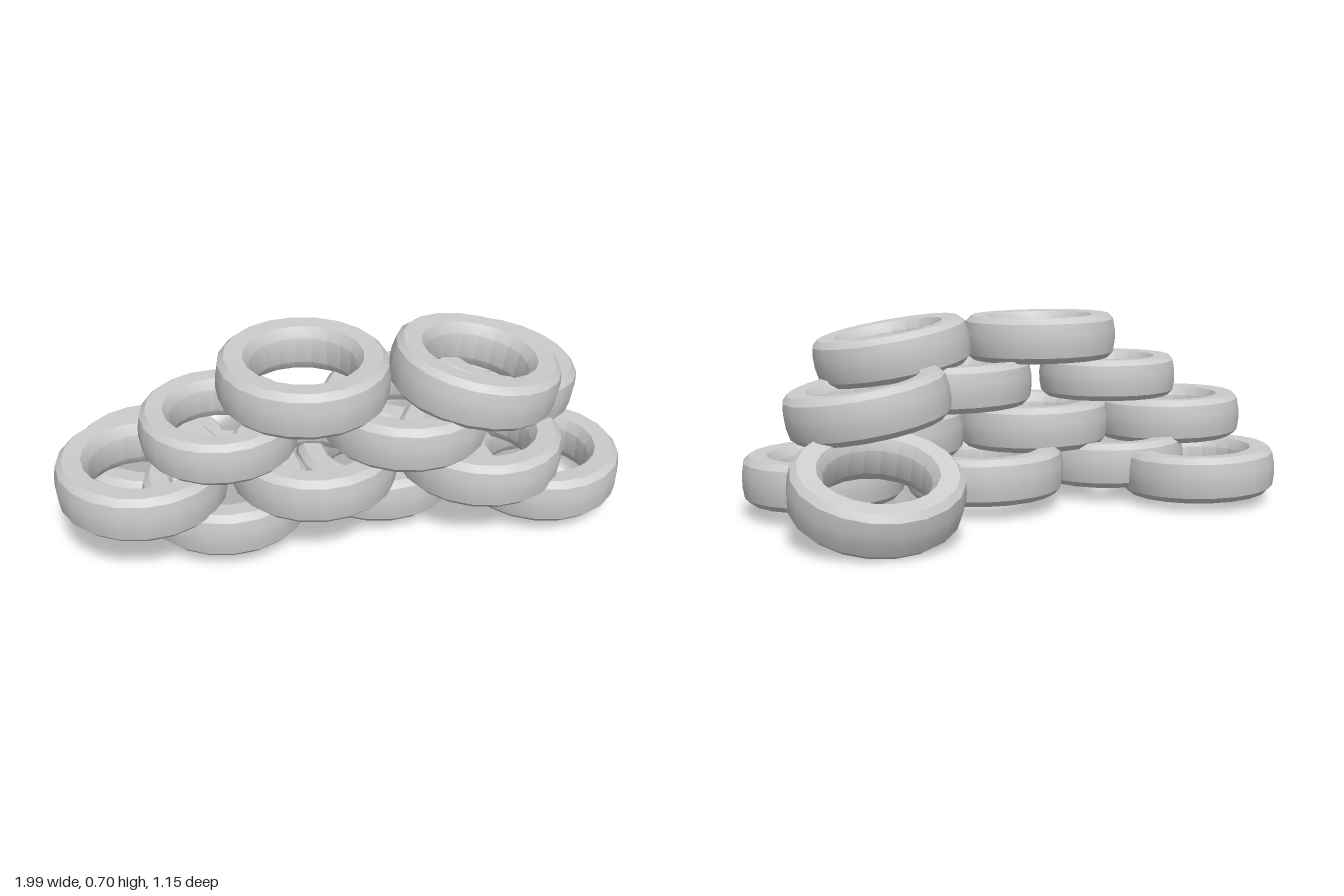
import * as THREE from 'three';
import { toCreasedNormals } from 'three/addons/utils/BufferGeometryUtils.js';

const material = new THREE.MeshStandardMaterial({ color: 0xcccccc });

// Tyre ring: closed cross-section (radius, height) turned around y
function tyreGeometry() {
  const half = [[0.29, 0.02], [0.283, 0.062], [0.262, 0.083], [0.2, 0.08], [0.177, 0.045]];
  const lower = half.map(([r, y]) => [r, -y]).reverse();
  const ring = [...half, ...lower, half[0]].map(([r, y]) => new THREE.Vector2(r, y));
  return toCreasedNormals(new THREE.LatheGeometry(ring, 20), 0.6);
}

// [name, x, y, z, tilt about x, tilt about z (degrees), scale]
const tyres = [
  // ground row
  ['groundTyreBackRight', -0.67, 0.1, -0.05, 0, -1.5, 1],
  ['groundTyreRight', -0.43, 0.122, 0.22, 0, -1, 1],
  ['groundTyreMiddle', 0.125, 0.117, 0.115, 0, -1, 1],
  ['groundTyreLeft', 0.7, 0.12, 0.22, 0, -1, 1],
  // second row
  ['secondRowTyreRight', -0.71, 0.263, 0.28, 0, -1, 1],
  ['secondRowTyreMiddle', -0.13, 0.264, 0.28, 0, -1, 1],
  ['secondRowTyreLeft', 0.455, 0.252, 0.28, 0, -2, 1],
  // third row
  ['thirdRowTyreRight', -0.445, 0.43, 0.28, 0, -0.5, 0.92],
  ['thirdRowTyreLeft', 0.185, 0.425, 0.28, 0, -1.5, 1],
  ['slippedTyre', 0.585, 0.395, 0.02, 0, -10, 1],
  // top row
  ['topTyreRight', -0.16, 0.59, 0.28, 0, -1, 1],
  ['topTyreLeft', 0.425, 0.555, 0.28, 0, -10, 1],
  // leaning against the back of the pile
  ['leaningTyre', 0.635, 0.155, -0.29, -21.4, 0, 1],
];

export function createModel() {
  const group = new THREE.Group();
  group.name = 'tyrePile';
  const geometry = tyreGeometry();
  for (const [name, x, y, z, tiltX, tiltZ, scale] of tyres) {
    const tyre = new THREE.Mesh(geometry, material);
    tyre.name = name;
    tyre.position.set(x, y, z);
    tyre.rotation.set(THREE.MathUtils.degToRad(tiltX), 0, THREE.MathUtils.degToRad(tiltZ));
    tyre.scale.setScalar(scale);
    group.add(tyre);
  }
  return group;
}
